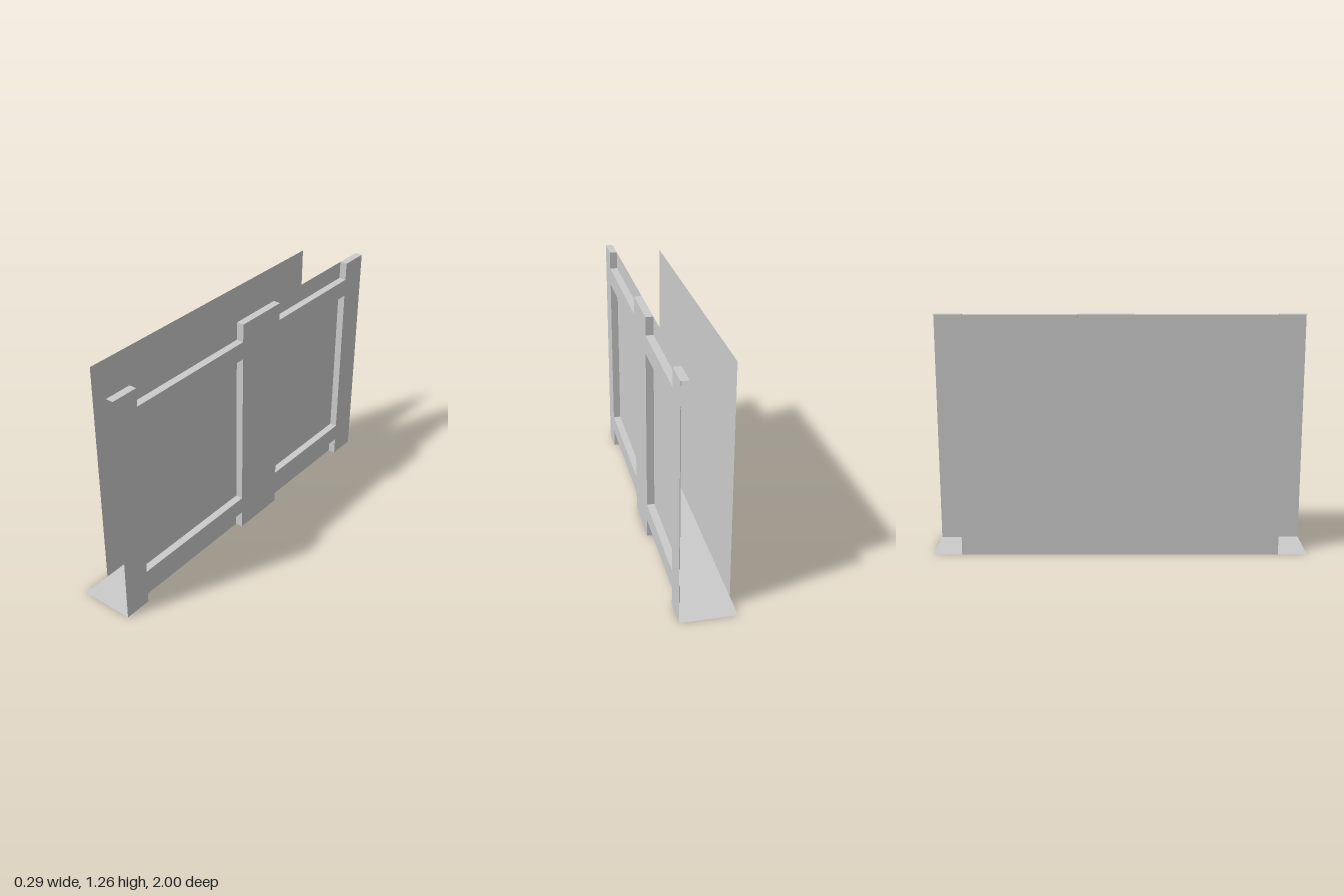
import * as THREE from 'three';

// Main dimensions
const FACE = 0.146, INNER = 0.106, BACK = -0.146; // x of face, recessed panels, back sheet
const TOP = 1.257, END = 1;
const BAYS = [[-0.845, -0.225], [0.08, 0.85]];          // z ranges between the posts
const ROWS = [[0, 0.098], [0.195, 1.064], [1.161, TOP]]; // y ranges between the rails

const material = new THREE.MeshStandardMaterial({ color: 0xcccccc, side: THREE.DoubleSide, flatShading: true });

export function createModel() {
  const model = new THREE.Group();

  const add = (parent, name, geometry) => {
    const mesh = new THREE.Mesh(geometry, material);
    mesh.name = name;
    parent.add(mesh);
    return mesh;
  };
  // Flat sheets facing +x, up or down, and along z
  const sheetX = (parent, name, x, [z0, z1], [y0, y1]) =>
    add(parent, name, new THREE.PlaneGeometry(z1 - z0, y1 - y0).rotateY(Math.PI / 2)
      .translate(x, (y0 + y1) / 2, (z0 + z1) / 2));
  const sheetY = (parent, name, y, [x0, x1], [z0, z1], up) =>
    add(parent, name, new THREE.PlaneGeometry(x1 - x0, z1 - z0).rotateX(up ? -Math.PI / 2 : Math.PI / 2)
      .translate((x0 + x1) / 2, y, (z0 + z1) / 2));
  const sheetZ = (parent, name, z, [x0, x1], [y0, y1], forward) =>
    add(parent, name, new THREE.PlaneGeometry(x1 - x0, y1 - y0).rotateY(forward ? 0 : Math.PI)
      .translate((x0 + x1) / 2, (y0 + y1) / 2, z));

  // Posts: the solid strips beside and between the bays, each with a top cap
  const posts = [[-END, BAYS[0][0]], [BAYS[0][1], BAYS[1][0]], [BAYS[1][1], END]];
  const frame = new THREE.Group();
  frame.name = 'frame';
  model.add(frame);
  posts.forEach((span) => {
    sheetX(frame, 'post', FACE, span, [0, TOP]);
    sheetY(frame, 'postCap', TOP, [INNER, FACE], span, true);
    sheetY(frame, 'postFoot', 0, [INNER, FACE], span, false);
  });

  // Bays: two rails and three recessed panels, each recess with its side walls
  const depth = [INNER, FACE];
  BAYS.forEach((bay) => {
    sheetX(frame, 'rail', FACE, bay, [ROWS[0][1], ROWS[1][0]]);
    sheetX(frame, 'rail', FACE, bay, [ROWS[1][1], ROWS[2][0]]);
    ROWS.forEach((row) => {
      const recess = new THREE.Group();
      recess.name = 'recess';
      frame.add(recess);
      sheetX(recess, 'panel', INNER, bay, row);
      sheetZ(recess, 'recessSide', bay[0], depth, row, true);
      sheetZ(recess, 'recessSide', bay[1], depth, row, false);
      if (row[0] > 0) sheetY(recess, 'recessSill', row[0], depth, bay, true);
      if (row[1] < TOP) sheetY(recess, 'recessHead', row[1], depth, bay, false);
    });
  });

  // Bottom sheet, and the back sheet that stops short of both ends
  sheetY(model, 'floor', 0, [BACK, INNER], [-END, END], false);
  const back = sheetX(model, 'backSheet', BACK, [-0.845, 0.845], [0, TOP]);
  back.geometry.rotateY(Math.PI).translate(2 * BACK, 0, 0); // face outward

  return model;
}
